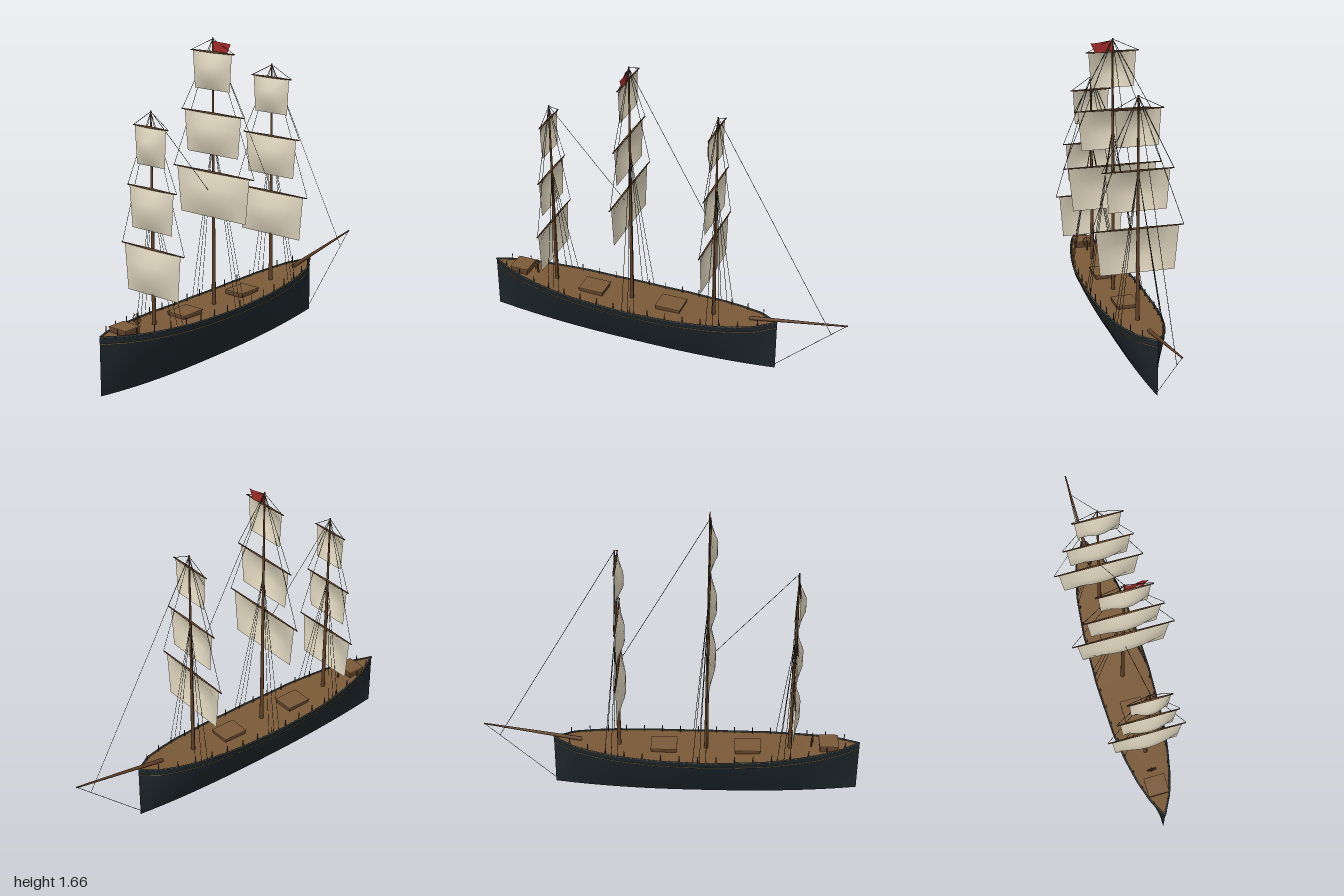
import * as THREE from 'three';

const STERN = 1, BOW = -0.63, MID = 0.185;
const mat = (color, side = THREE.FrontSide) =>
  new THREE.MeshStandardMaterial({ color, side, roughness: 0.8 });
const hullMat = mat(0x1d262b), railMat = mat(0x3a3f3c), deckMat = mat(0x7a5a38), woodMat = mat(0x5f4027);
const trimMat = mat(0x8a6f45), ropeMat = mat(0x2c2722);
const sailMat = mat(0xd8cfb8, THREE.DoubleSide), flagMat = mat(0xa32a2a, THREE.DoubleSide);
const V = (x, y, z) => new THREE.Vector3(x, y, z);

// Hull lines: half breadth along z, sheer, keel and section shape
const BREADTH = [[-0.63, 0], [-0.52, 0.068], [-0.41, 0.1], [-0.3, 0.122], [-0.1, 0.142], [0.19, 0.15],
  [0.5, 0.138], [0.65, 0.117], [0.78, 0.09], [0.89, 0.056], [1, 0]];
const SECTION = [[0, 0], [0.15, 0.17], [0.33, 0.39], [0.5, 0.58], [0.66, 0.75], [0.82, 0.9], [0.92, 0.97], [1, 1]];
function lookup(table, t) {
  for (let i = 1; i < table.length; i++) {
    const [a, fa] = table[i - 1], [b, fb] = table[i];
    if (t <= b) return THREE.MathUtils.mapLinear(t, a, b, fa, fb);
  }
  return table[table.length - 1][1];
}
const ends = (z) => Math.abs((z - MID) / 0.815);
const breadth = (z) => lookup(BREADTH, z);
const sheer = (z) => 0.298 + 0.047 * ends(z) ** 2;
const keel = (z) => 0.005 + 0.044 * ends(z) ** 2.4;
const hullPoint = (side, z, v) =>
  V(side * breadth(z) * lookup(SECTION, v), THREE.MathUtils.lerp(keel(z), sheer(z), v), z);

function add(parent, name, geometry, material) {
  const mesh = new THREE.Mesh(geometry, material);
  mesh.name = name;
  parent.add(mesh);
  return mesh;
}

// Grid surface whose vertices follow rule(u, v)
function surface(nu, nv, rule) {
  const g = new THREE.PlaneGeometry(1, 1, nu, nv), p = g.attributes.position;
  for (let i = 0; i < p.count; i++) {
    const q = rule(p.getX(i) + 0.5, p.getY(i) + 0.5);
    p.setXYZ(i, q.x, q.y, q.z);
  }
  g.computeVertexNormals();
  return g;
}

// Tapered rod from a to b
function rod(parent, name, a, b, ra, rb, material, sides = 8) {
  const d = b.clone().sub(a);
  const mesh = add(parent, name, new THREE.CylinderGeometry(rb, ra, d.length(), sides), material);
  mesh.position.copy(a).addScaledVector(d, 0.5);
  mesh.quaternion.setFromUnitVectors(V(0, 1, 0), d.normalize());
  return mesh;
}
const rope = (parent, name, a, b) => rod(parent, name, a, b, 0.0014, 0.0014, ropeMat, 4);

function box(parent, name, w, y0, y1, z0, z1, material) {
  add(parent, name, new THREE.BoxGeometry(w, y1 - y0, z1 - z0), material)
    .position.set(0, (y0 + y1) / 2, (z0 + z1) / 2);
}

function buildHull() {
  const hull = new THREE.Group();
  hull.name = 'hull';
  for (const side of [1, -1]) {
    const [z0, z1] = side > 0 ? [STERN, BOW] : [BOW, STERN];
    add(hull, 'hullSide', surface(30, 14, (u, v) => hullPoint(side, THREE.MathUtils.lerp(z0, z1, u), v)), hullMat);
    // Cap rail and the thin trim line below it
    const line = (v, out, up) => new THREE.CatmullRomCurve3(Array.from({ length: 31 }, (_, i) => {
      const p = hullPoint(side, THREE.MathUtils.lerp(STERN, BOW, i / 30), v);
      return p.add(V(side * out, up, 0));
    }));
    add(hull, 'capRail', new THREE.TubeGeometry(line(1, 0, 0), 60, 0.005, 6), railMat);
    add(hull, 'trimLine', new THREE.TubeGeometry(line(0.88, 0.001, 0), 60, 0.002, 5), trimMat);
    // Rail posts
    for (let i = 0; i < 16; i++) {
      const z = THREE.MathUtils.lerp(0.92, -0.54, i / 15), x = side * breadth(z) * 0.93;
      rod(hull, 'railPost', V(x, sheer(z) - 0.015, z), V(x, sheer(z) + 0.035, z), 0.0025, 0.0025, ropeMat, 6);
    }
  }
  add(hull, 'deck', surface(2, 30, (u, v) => {
    const z = THREE.MathUtils.lerp(STERN, BOW, v);
    return V((u * 2 - 1) * breadth(z) * 0.99, sheer(z) - 0.004, z);
  }), deckMat);
  return hull;
}

function buildDeckFittings() {
  const fittings = new THREE.Group();
  fittings.name = 'deckFittings';
  for (const z of [-0.04, 0.405]) {
    box(fittings, 'hatch', 0.11, 0.29, 0.314, z - 0.067, z + 0.067, woodMat);
    box(fittings, 'hatchCover', 0.116, 0.314, 0.319, z - 0.07, z + 0.07, deckMat);
  }
  box(fittings, 'deckhouse', 0.106, 0.3, 0.35, 0.787, 0.883, woodMat);
  box(fittings, 'deckhouseRoof', 0.112, 0.35, 0.355, 0.784, 0.886, deckMat);
  // Steering wheel
  const wheel = new THREE.Group();
  wheel.name = 'steeringWheel';
  wheel.position.set(0, 0.368, 0.75);
  add(wheel, 'wheelRim', new THREE.TorusGeometry(0.024, 0.002, 6, 20), woodMat);
  for (let i = 0; i < 4; i++) {
    const a = i * Math.PI / 4, e = V(Math.cos(a), Math.sin(a), 0).multiplyScalar(0.031);
    rod(wheel, 'wheelSpoke', e, e.clone().negate(), 0.0013, 0.0013, woodMat, 5);
  }
  rod(wheel, 'wheelPost', V(0, -0.06, -0.006), V(0, 0, -0.006), 0.005, 0.004, woodMat);
  fittings.add(wheel);
  return fittings;
}

// A mast with three yards, square sails, lifts and shrouds
function buildMast({ name, z, top, yards, shroudTop }) {
  const mast = new THREE.Group();
  mast.name = name;
  rod(mast, 'mastPole', V(0, 0.28, z), V(0, top, z), 0.011, 0.004, woodMat, 10);
  yards.forEach(([y, half], i) => {
    const drop = [0.235, 0.21, 0.188][i];
    for (const s of [1, -1]) {
      rod(mast, 'yard', V(0, y, z + 0.004), V(s * half, y, z + 0.004), 0.006, 0.003, woodMat);
      rope(mast, 'lift', V(s * half, y, z), V(0, top - 0.005, z));
    }
    add(mast, 'sail', surface(8, 3, (u, v) => V(
      (u * 2 - 1) * half * THREE.MathUtils.lerp(0.81, 0.9, v),
      y - drop * (1 - v),
      z + 0.005 + 0.042 * Math.sin(Math.PI * u) * Math.sin(Math.PI * v))), sailMat);
  });
  for (const s of [1, -1]) for (const dz of [-0.07, -0.035, 0]) {
    const foot = z + dz;
    rope(mast, 'shroud', V(s * breadth(foot) * 0.98, sheer(foot), foot), V(0, shroudTop, z));
  }
  return mast;
}

export function createModel() {
  const ship = new THREE.Group();
  ship.name = 'sailingShip';
  ship.add(buildHull(), buildDeckFittings());

  const masts = [
    { name: 'foreMast', z: -0.28, top: 1.48, shroudTop: 1.1, yards: [[0.8, 0.24], [1.1, 0.185], [1.41, 0.13]] },
    { name: 'mainMast', z: 0.185, top: 1.665, shroudTop: 1.2, yards: [[0.99, 0.265], [1.29, 0.205], [1.595, 0.14]] },
    { name: 'mizzenMast', z: 0.63, top: 1.37, shroudTop: 1.0, yards: [[0.69, 0.205], [0.99, 0.16], [1.29, 0.112]] },
  ];
  for (const m of masts) ship.add(buildMast(m));

  // Bowsprit and the ropes along the centreline
  rod(ship, 'bowsprit', V(0, 0.335, -0.48), V(0, 0.422, -1), 0.011, 0.004, woodMat, 10);
  rope(ship, 'bobstay', V(0, 0.42, -0.995), V(0, 0.07, -0.625));
  rope(ship, 'foreStay', V(0, 1.478, -0.28), V(0, 0.35, -0.918));
  rope(ship, 'mainStay', V(0, 1.66, 0.185), V(0, 0.85, -0.26));
  rope(ship, 'mizzenStay', V(0, 1.368, 0.63), V(0, 0.9, 0.22));

  // Flag at the main masthead
  add(ship, 'flag', surface(4, 1, (u, v) => V(
    u * THREE.MathUtils.lerp(0.09, 0.115, v),
    THREE.MathUtils.lerp(1.602, 1.652, v) - 0.01 * u,
    0.185 + 0.005 * Math.sin(u * Math.PI * 2))), flagMat);
  return ship;
}
